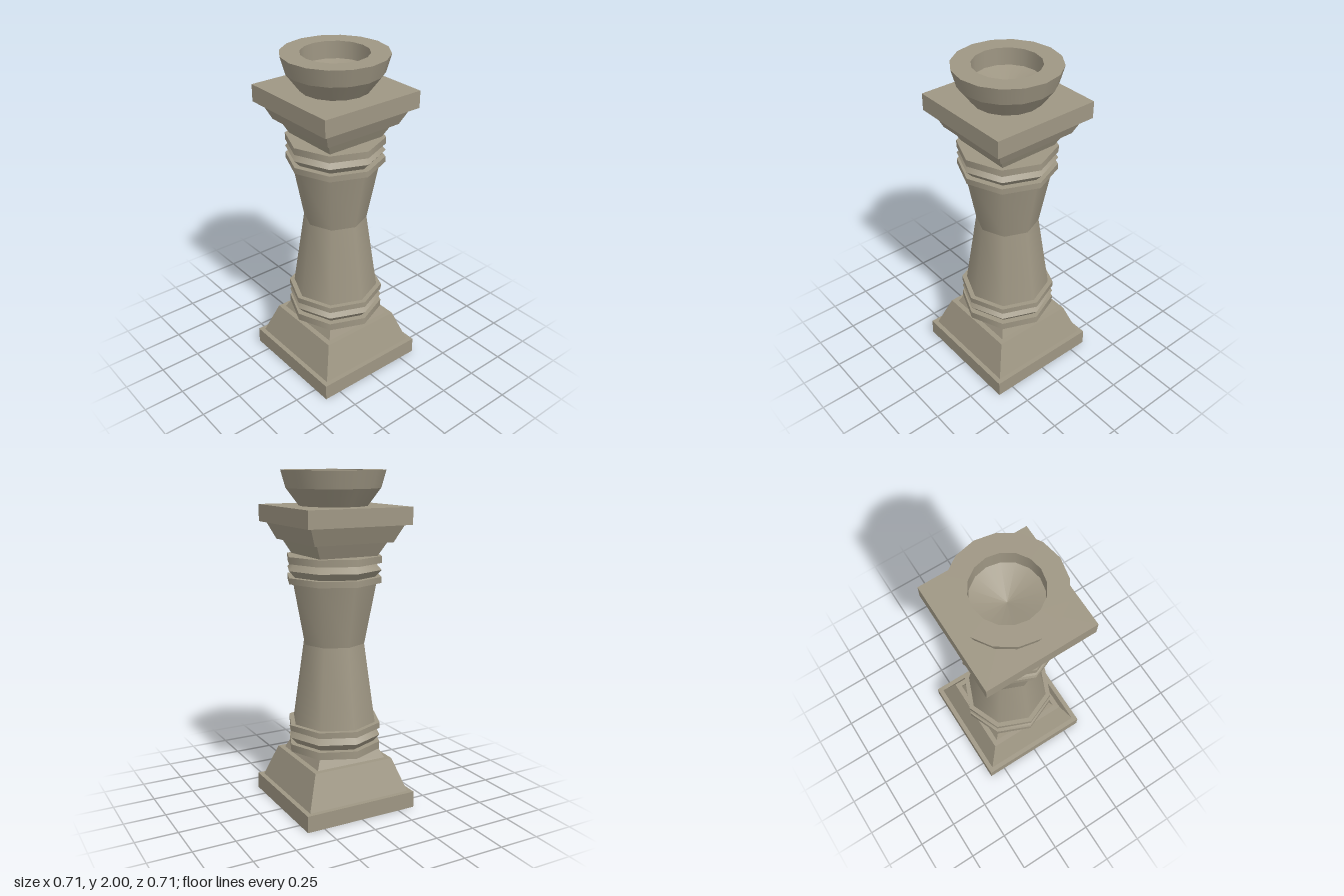
import * as THREE from 'three';
import { mergeGeometries } from 'three/addons/utils/BufferGeometryUtils.js';

const stone = new THREE.MeshStandardMaterial({ color: 0x9e9683 });
stone.name = 'weathered stone';

// Turned solid: smooth around the axis, sharp between profile points [radius, y]
function turned(name, profile, sides) {
  const bands = [];
  for (let i = 0; i < profile.length - 1; i++) {
    const pair = [profile[i], profile[i + 1]].map(([r, y]) => new THREE.Vector2(r, y));
    bands.push(new THREE.LatheGeometry(pair, sides));
  }
  const mesh = new THREE.Mesh(mergeGeometries(bands), stone);
  mesh.name = name;
  return mesh;
}

// Square stepped block with flat faces; profile points are [half width, y]
function square(name, profile) {
  const pts = profile.map(([h, y]) => new THREE.Vector2(h * Math.SQRT2, y));
  const geo = new THREE.LatheGeometry(pts, 4).rotateY(Math.PI / 4).toNonIndexed();
  geo.computeVertexNormals();
  const mesh = new THREE.Mesh(geo, stone);
  mesh.name = name;
  return mesh;
}

// Two flat bands with a pointed moulding between them
function collar(name, y0, y1, y2, y3) {
  const R = 0.287, n = 0.25;
  return turned(name, [
    [0, y0], [R, y0], [R, y1], [n, y1], [R, (y1 + y2) / 2],
    [n, y2], [R, y2], [R, y3], [0, y3],
  ], 8);
}

export function createModel() {
  const model = new THREE.Group();
  model.name = 'pedestal';

  // Foot
  model.add(square('base', [
    [0, 0], [0.357, 0], [0.357, 0.1], [0.328, 0.1], [0.257, 0.3],
    [0.225, 0.3], [0.2, 0.355], [0, 0.355],
  ]));

  // Waisted octagonal column between two collars
  model.add(collar('lowerCollar', 0.355, 0.4, 0.485, 0.52));
  model.add(turned('shaft', [[0.257, 0.52], [0.187, 1.0], [0.257, 1.365]], 8));
  model.add(collar('upperCollar', 1.365, 1.4, 1.48, 1.52));

  // Flared capital and top slab
  model.add(square('capital', [
    [0, 1.52], [0.185, 1.52], [0.225, 1.6], [0.25, 1.6], [0.295, 1.7],
    [0.327, 1.7], [0.327, 1.8], [0, 1.8],
  ]));

  // Hollow bowl with a dished floor
  model.add(turned('bowl', [
    [0.2, 1.8], [0.275, 1.9], [0.303, 2.0], [0.192, 2.0], [0.192, 1.9], [0, 1.84],
  ], 16));

  return model;
}
